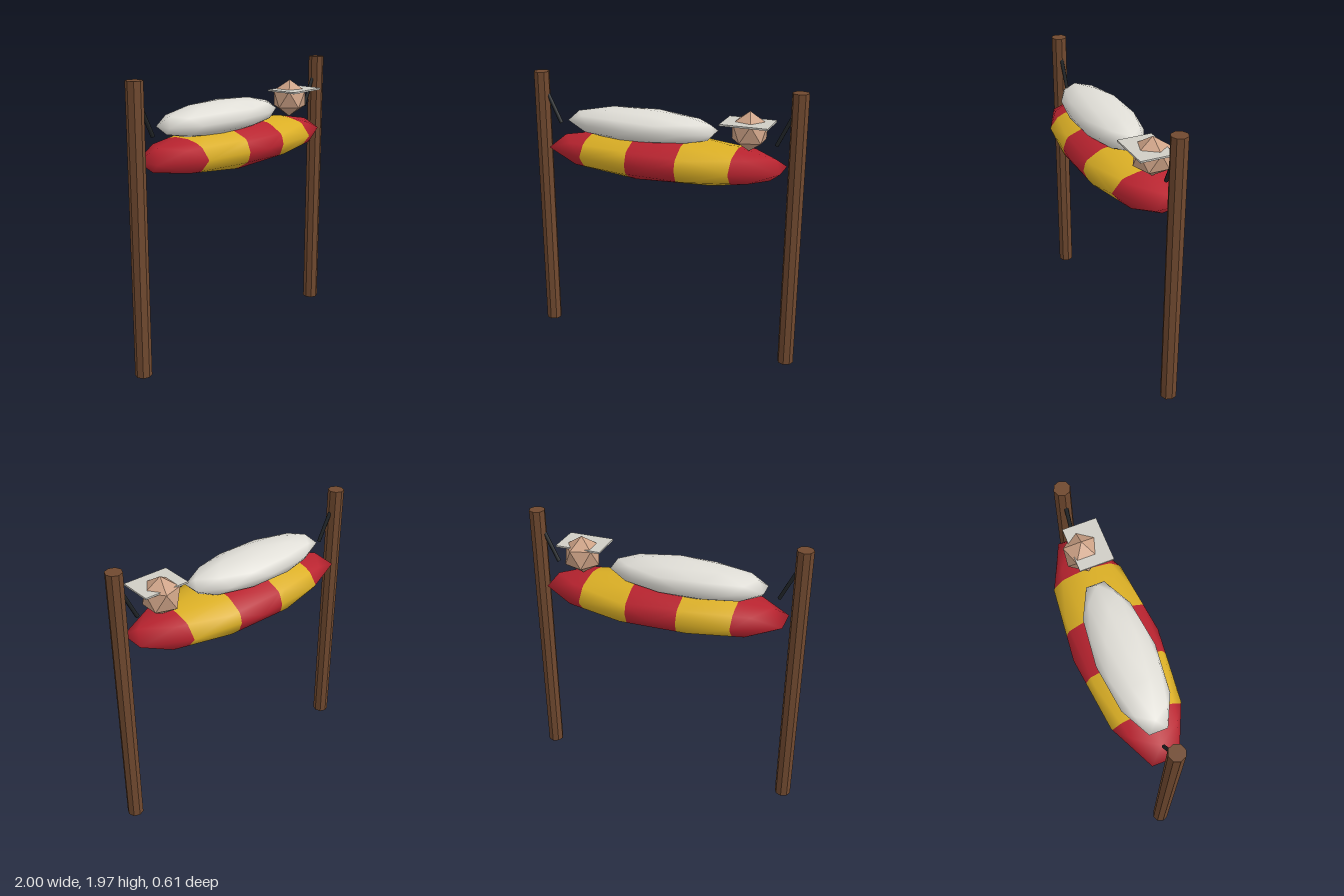
import * as THREE from 'three';
import { mergeVertices } from 'three/addons/utils/BufferGeometryUtils.js';
import { ConvexGeometry } from 'three/addons/geometries/ConvexGeometry.js';

const flat = (name, color) => {
  const m = new THREE.MeshStandardMaterial({ color });
  m.name = name;
  return m;
};

// Vertices of an icosahedron standing on a point, listed ring by ring
function icoPoints(rings) {
  const points = [new THREE.Vector3(0, 1, 0), new THREE.Vector3(0, -1, 0)];
  for (const [y, count, startDeg] of rings) {
    const r = Math.sqrt(1 - y * y);
    for (let i = 0; i < count; i++) {
      const a = THREE.MathUtils.degToRad(startDeg) + (i * 2 * Math.PI) / count;
      points.push(new THREE.Vector3(r * Math.cos(a), y, r * Math.sin(a)));
    }
  }
  return points;
}
const COARSE = [[0.4472, 5, 0], [-0.4472, 5, 36]];
const FINE = [...COARSE, [0.8507, 5, 0], [0.5257, 5, 36], [0, 10, 18], [-0.5257, 5, 0], [-0.8507, 5, 36]];

// Stretched, smooth-shaded low-poly ball
function softBall(rx, ry, rz) {
  const g = new ConvexGeometry(icoPoints(FINE)).scale(rx, ry, rz);
  g.deleteAttribute('normal');
  const smooth = mergeVertices(g, 1e-4);
  smooth.computeVertexNormals();
  return smooth.toNonIndexed();
}

// Keep the part of a polygon where side * (x - limit) >= 0
function clipX(poly, limit, side) {
  const out = [];
  poly.forEach((a, i) => {
    const b = poly[(i + 1) % poly.length];
    const da = side * (a.p.x - limit);
    const db = side * (b.p.x - limit);
    if (da >= 0) out.push(a);
    if (da * db < 0) {
      const t = da / (da - db);
      out.push({ p: a.p.clone().lerp(b.p, t), n: a.n.clone().lerp(b.n, t).normalize() });
    }
  });
  return out;
}

// Cut a geometry into equal bands along x, with alternating material groups
function stripe(geometry, start, width, bands) {
  const { position, normal } = geometry.attributes;
  const pos = [], nor = [];
  const result = new THREE.BufferGeometry();
  for (let band = 0; band < bands; band++) {
    const first = pos.length / 3;
    for (let f = 0; f < position.count; f += 3) {
      let poly = [0, 1, 2].map((k) => ({
        p: new THREE.Vector3().fromBufferAttribute(position, f + k),
        n: new THREE.Vector3().fromBufferAttribute(normal, f + k),
      }));
      poly = clipX(poly, start + band * width, 1);
      poly = clipX(poly, start + (band + 1) * width, -1);
      for (let k = 1; k < poly.length - 1; k++) {
        for (const v of [poly[0], poly[k], poly[k + 1]]) {
          pos.push(...v.p.toArray());
          nor.push(...v.n.toArray());
        }
      }
    }
    result.addGroup(first, pos.length / 3 - first, band % 2);
  }
  result.setAttribute('position', new THREE.Float32BufferAttribute(pos, 3));
  result.setAttribute('normal', new THREE.Float32BufferAttribute(nor, 3));
  return result;
}

export function createModel() {
  const model = new THREE.Group();
  model.name = 'hammock';
  const wood = flat('wood', 0x70492f);
  const red = flat('red cloth', 0xb8232f);
  const yellow = flat('yellow cloth', 0xdbaf25);
  const white = flat('white cloth', 0xe0ded7);
  const skin = flat('skin', 0xcda286);
  const paper = flat('paper', 0xcfcdc5);
  const rope = flat('rope', 0x202427);

  const add = (name, geometry, material, x, y, z) => {
    const mesh = new THREE.Mesh(geometry, material);
    mesh.name = name;
    mesh.position.set(x, y, z);
    model.add(mesh);
    return mesh;
  };

  // Posts and the short ropes leaning in from them
  const postGeometry = new THREE.CylinderGeometry(0.057, 0.057, 1.97, 8).toNonIndexed();
  postGeometry.computeVertexNormals();
  for (const [side, label] of [[1, 'left'], [-1, 'right']]) {
    add(label + 'Post', postGeometry, wood, side * 0.943, 0.985, 0);
    const strap = add(label + 'Rope', new THREE.CylinderGeometry(0.014, 0.014, 0.225, 6), rope, side * 0.849, 1.704, 0);
    strap.rotation.z = -side * 0.45;
  }

  // Striped cloth bed
  add('bed', stripe(softBall(0.9, 0.16, 0.305), -0.9, 0.36, 5), [red, yellow], 0, 1.438, 0);

  // Sleeper: covered body, faceted head and a sheet over the face
  add('body', softBall(0.57, 0.118, 0.205), white, -0.168, 1.647, 0);
  add('head', new ConvexGeometry(icoPoints(COARSE)).scale(0.137, 0.137, 0.137), skin, 0.612, 1.685, 0);
  add('faceSheet', new THREE.BoxGeometry(0.328, 0.012, 0.24), paper, 0.613, 1.751, 0.046);

  return model;
}
